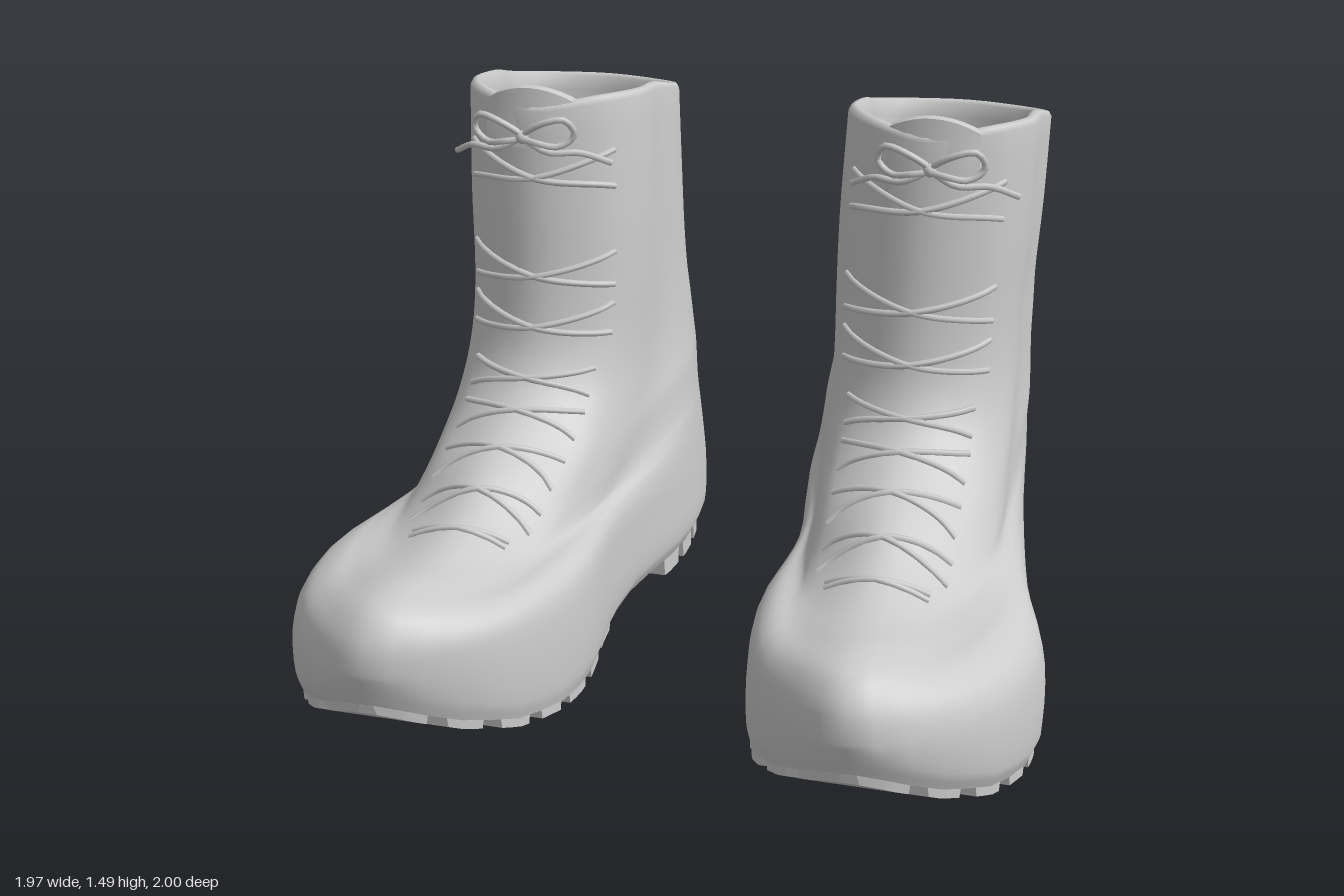
import * as THREE from 'three';

const grey = new THREE.MeshStandardMaterial({ color: 0xcccccc });
const N = 48; // points around each ring
const lerp = THREE.MathUtils.lerp;

// Underside height along the foot: [z, y]
const SOLE = [[1, .27], [.93, .215], [.85, .165], [.7, .1], [.5, .052], [.2, .032], [0, .042],
  [-.15, .065], [-.3, .062], [-.7, .05], [-.88, .065], [-.95, .1], [-1, .15]];
function soleY(z) {
  for (let i = 0; i < SOLE.length - 1; i++) {
    const [z0, y0] = SOLE[i], [z1, y1] = SOLE[i + 1];
    if (z >= z1) return lerp(y0, y1, Math.max(0, (z0 - z) / (z0 - z1)));
  }
  return SOLE[SOLE.length - 1][1];
}

// Rings from sole to collar:
// front z, front y, back z, back y, ball outer/inner x, heel outer/inner x, side sag
const RINGS = [
  [.975, .24, -.95, .05, .965, .24, .77, .2, 0],
  [.992, .29, -.988, .1, .98, .23, .785, .18, 0],
  [1, .34, -1, .19, .968, .234, .79, .18, 0],
  [.985, .42, -.985, .3, .93, .25, .79, .185, .02],
  [.925, .485, -.965, .38, .88, .28, .79, .19, .06],
  [.8, .495, -.94, .45, .84, .32, .788, .195, .08],
  [.62, .47, -.92, .5, .8, .32, .785, .2, .06],
  [.45, .49, -.9, .56, .79, .31, .78, .205, .05],
  [.28, .56, -.88, .63, .78, .3, .78, .21, .05],
  [.12, .62, -.86, .7, .775, .29, .775, .22, .04],
  [0, .69, -.842, .78, .77, .285, .77, .23, .02],
  [-.065, .78, -.83, .86, .765, .28, .77, .24, 0],
  [-.1, .92, -.83, .97, .765, .275, .77, .25, 0],
  [-.13, 1.15, -.838, 1.13, .775, .275, .78, .26, -.02],
  [-.165, 1.43, -.862, 1.34, .78, .285, .785, .275, -.035],
];
const TOP = RINGS.length - 1;

// One closed plan outline: front, outer side, back, inner side
function ring([zf, yf, zb, yb, bo, bi, ho, hi, sag], i) {
  const cf = (bo + bi) / 2, cb = (ho + hi) / 2, pinch = .055 * Math.max(0, 1 - i / 8);
  const side = (o, s) => {
    const ball = o ? bo : bi, heel = o ? ho : hi;
    return [[.1, lerp(cf, ball, .7), .8], [.29, ball, 1],
      [.5, (ball + heel) / 2 + (o ? 0 : pinch), 1], [.75, heel, .3], [.91, lerp(cb, heel, .79), 0]];
  };
  const pts = [[0, cf, 0], ...side(true), [1, cb, 0], ...side(false).reverse()].map(([t, x, w]) =>
    new THREE.Vector3(x, lerp(yf, yb, t) - sag * w, lerp(zf, zb, t)));
  const curve = new THREE.CatmullRomCurve3(pts, true);
  return Array.from({ length: N }, (_, k) => {
    const p = curve.getPoint(k / N);
    if (i < 2) p.y = soleY(p.z) + i * .045;
    return p;
  });
}
const rings = RINGS.map(ring);
const columns = rings[0].map((_, k) => new THREE.CatmullRomCurve3(rings.map(r => r[k])));
const surface = (k, v) => columns[(k + N) % N].getPoint(THREE.MathUtils.clamp(v / TOP, 0, 1));

// Skin a stack of closed rings
function loft(rows) {
  const pos = [], idx = [];
  rows.forEach(r => r.forEach(p => pos.push(p.x, p.y, p.z)));
  for (let j = 0; j < rows.length - 1; j++) for (let k = 0; k < N; k++) {
    const a = j * N + k, b = j * N + (k + 1) % N;
    idx.push(a, b, b + N, a, b + N, a + N);
  }
  const g = new THREE.BufferGeometry();
  g.setAttribute('position', new THREE.Float32BufferAttribute(pos, 3));
  g.setIndex(idx);
  g.computeVertexNormals();
  return g;
}

// Sole edge x at a given z on the outer (+1) or inner (-1) side
function soleEdge(z, s) {
  const at = k => rings[0][(s * k + N) % N];
  for (let k = 0; k < N / 2; k++) {
    const a = at(k), b = at(k + 1);
    if (z <= a.z && z >= b.z) return lerp(a.x, b.x, (a.z - z) / (a.z - b.z || 1));
  }
  return at(z > 0 ? 0 : N / 2).x;
}

// Tread bar following the sole between z0 and z1, spanning u0..u1 of its width
function treadBar(z0, z1, depth, u0 = 0, u1 = 1) {
  const g = new THREE.BoxGeometry(1, 1, 1, 1, 1, 3), p = g.attributes.position;
  for (let i = 0; i < p.count; i++) {
    const low = p.getY(i) < 0;
    const z = lerp(z1, z0, .5 + p.getZ(i) * (low ? .88 : 1));
    const u = lerp(u0, u1, p.getX(i) + .5);
    p.setXYZ(i, lerp(soleEdge(z, -1), soleEdge(z, 1), u), soleY(z) + (low ? -depth : .02), z);
  }
  g.computeVertexNormals();
  return g;
}

const tube = (pts, r = .009, closed = false) =>
  new THREE.TubeGeometry(new THREE.CatmullRomCurve3(pts, closed), pts.length * 3, r, 6, closed);

function createBoot() {
  const boot = new THREE.Group();
  const add = (name, geo, parent = boot) => {
    const m = new THREE.Mesh(geo, grey);
    m.name = name;
    parent.add(m);
    return m;
  };
  const group = name => {
    const g = new THREE.Group();
    g.name = name;
    boot.add(g);
    return g;
  };

  // Upper, rolled collar and lining in one skin
  const rows = [];
  for (let j = 0; j <= TOP * 4; j++) rows.push(columns.map((_, k) => surface(k, j / 4)));
  const centre = new THREE.Vector3(.53, 0, -.515);
  const inset = (d, y) => rings[TOP].map(p => {
    const dir = centre.clone().sub(p).setY(0).normalize();
    return p.clone().addScaledVector(dir, d).setY(y(p));
  });
  rows.push(inset(.008, p => p.y + .014), inset(.022, p => p.y + .018), inset(.036, p => p.y + .01),
    inset(.042, p => p.y - .03), inset(.06, p => p.y - .3), inset(.08, () => .75),
    inset(.12, () => .62), inset(.2, () => .59), rings[TOP].map(() => centre.clone().setY(.58)));
  add('upper', loft(rows));

  // Underside, from centre line out to the edge
  const mid = rings[0].map(p => p.clone().setX((soleEdge(p.z, 1) + soleEdge(p.z, -1)) / 2));
  add('sole', loft([mid, rings[0]]));

  // Treads: full bars under the forefoot, split lugs then bars under the heel
  const treads = group('treads');
  [[.972, .91], [.88, .8], [.76, .66], [.62, .52], [.48, .36], [.32, .19], [.15, .04]]
    .forEach(([a, b]) => add('forefootTread', treadBar(a, b, .025), treads));
  [[-.31, -.42], [-.45, -.55], [-.58, -.68]].forEach(([a, b]) => {
    add('heelLug', treadBar(a, b, .05, 0, .4), treads);
    add('heelLug', treadBar(a, b, .05, .6, 1), treads);
  });
  [[-.71, -.81], [-.83, -.94]].forEach(([a, b]) => add('heelTread', treadBar(a, b, .042), treads));
  add('heelCore', treadBar(-.32, -.92, .025, .04, .96), treads);

  // Tongue tip, curved and scalloped
  const tongue = new THREE.BoxGeometry(.25, .16, .03, 10, 3, 1), tp = tongue.attributes.position;
  for (let i = 0; i < tp.count; i++) {
    const x = tp.getX(i), y = tp.getY(i);
    tp.setXYZ(i, x + .545, y + 1.412 - (y > 0 ? 2.6 * x * x : 0), tp.getZ(i) - .182 - 1.6 * x * x - y * .15);
  }
  tongue.computeVertexNormals();
  add('tongue', tongue);

  // Crossed laces lying on the surface, running straight across the instep
  const laces = group('laces');
  const lace = (v0, v1, K) => {
    const pts = [];
    for (let k = -K; k <= K; k++) {
      const v = lerp(v0, v1, (k + K) / (2 * K));
      const bend = THREE.MathUtils.clamp((11 - v) / 3, 0, 1) * .8 * (k / 4) ** 2;
      pts.push(surface(k, v - bend));
    }
    add('lace', tube(pts), laces);
  };
  [[6.9, 7.05, 3], [7.5, 8, 4], [8.4, 8.9, 4], [9.3, 9.8, 4], [10.1, 10.6, 4], [11.2, 11.8, 5],
    [12.1, 12.5, 5], [13.2, 13.55, 5]].forEach(([a, b, K]) => {
    lace(a, b, K);
    lace(b, a, K);
  });

  // Bow: two loops, two tails and a knot
  const bow = group('bow');
  const V = (x, y, z) => new THREE.Vector3(.55 + x, 1.37 + y, -.13 + z);
  for (const s of [-1, 1]) {
    add('bowLoop', tube([V(0, 0, 0), V(s * .06, .045, .015), V(s * .12, .055, 0), V(s * .14, .01, -.02),
      V(s * .1, -.02, -.005), V(s * .05, -.012, .01)], .009, true), bow);
    add('bowTail', tube([V(0, 0, 0), V(s * .07, -.035, .005), V(s * .15, -.04, -.03),
      V(s * .22, -.08, -.09)]), bow);
  }
  add('knot', new THREE.SphereGeometry(.018, 10, 8), bow).position.copy(V(0, 0, 0));
  return boot;
}

export function createModel() {
  const model = new THREE.Group();
  model.name = 'boots';
  const left = createBoot(), right = createBoot();
  left.name = 'leftBoot';
  right.name = 'rightBoot';
  right.scale.x = -1;
  model.add(left, right);
  return model;
}
